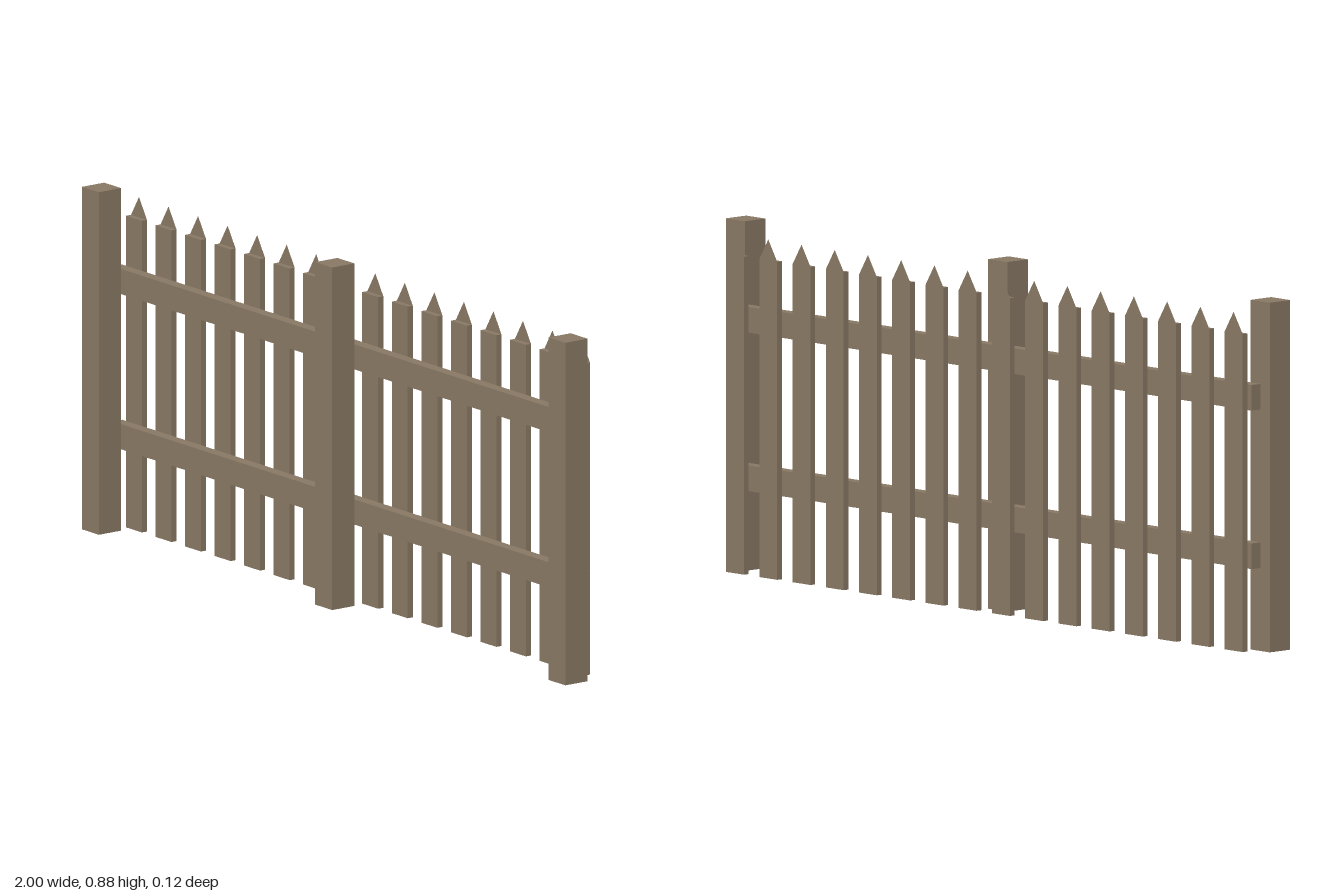
import * as THREE from 'three';

const wood = new THREE.MeshStandardMaterial({ color: 0x887864 });
wood.name = 'weathered wood';
// Same wood colour, visible from both sides for the thin picket tips
const thinWood = wood.clone();
thinWood.side = THREE.DoubleSide;

const PICKET_W = 0.066, PICKET_H = 0.805, TIP_Y = 0.858;
const BACK = -0.058, RAIL_BACK = -0.042, RAIL_FRONT = -0.012, FRONT = 0.058;

// Box given by its centre x, and its y and z ranges
function board(name, x, width, y0, y1, z0, z1) {
  const mesh = new THREE.Mesh(new THREE.BoxGeometry(width, y1 - y0, z1 - z0), wood);
  mesh.position.set(x, (y0 + y1) / 2, (z0 + z1) / 2);
  mesh.name = name;
  return mesh;
}

// Flat triangular point, flush with the back of a picket
const tipShape = new THREE.Shape([
  new THREE.Vector2(-PICKET_W / 2, PICKET_H),
  new THREE.Vector2(PICKET_W / 2, PICKET_H),
  new THREE.Vector2(0, TIP_Y),
]);
const tipGeometry = new THREE.ShapeGeometry(tipShape).rotateY(Math.PI);

function picket(x) {
  const group = new THREE.Group();
  group.name = 'picket';
  const tip = new THREE.Mesh(tipGeometry, thinWood);
  tip.name = 'picketTip';
  tip.position.z = BACK;
  group.add(board('picketBoard', 0, PICKET_W, 0, PICKET_H, BACK, RAIL_BACK), tip);
  group.position.x = x;
  return group;
}

export function createModel() {
  const fence = new THREE.Group();
  fence.name = 'picketFence';

  // Three square posts
  for (const x of [-0.965, 0, 0.965]) {
    fence.add(board('post', x, 0.07, 0, 0.885, RAIL_FRONT, FRONT));
  }

  // Two rails running behind the posts
  for (const y of [0.21, 0.611]) {
    fence.add(board('rail', 0, 1.93, y, y + 0.065, RAIL_BACK, RAIL_FRONT));
  }

  // Sixteen evenly spaced pickets behind the rails
  for (let i = 0; i < 16; i++) fence.add(picket((i - 7.5) * 0.1222));

  return fence;
}
